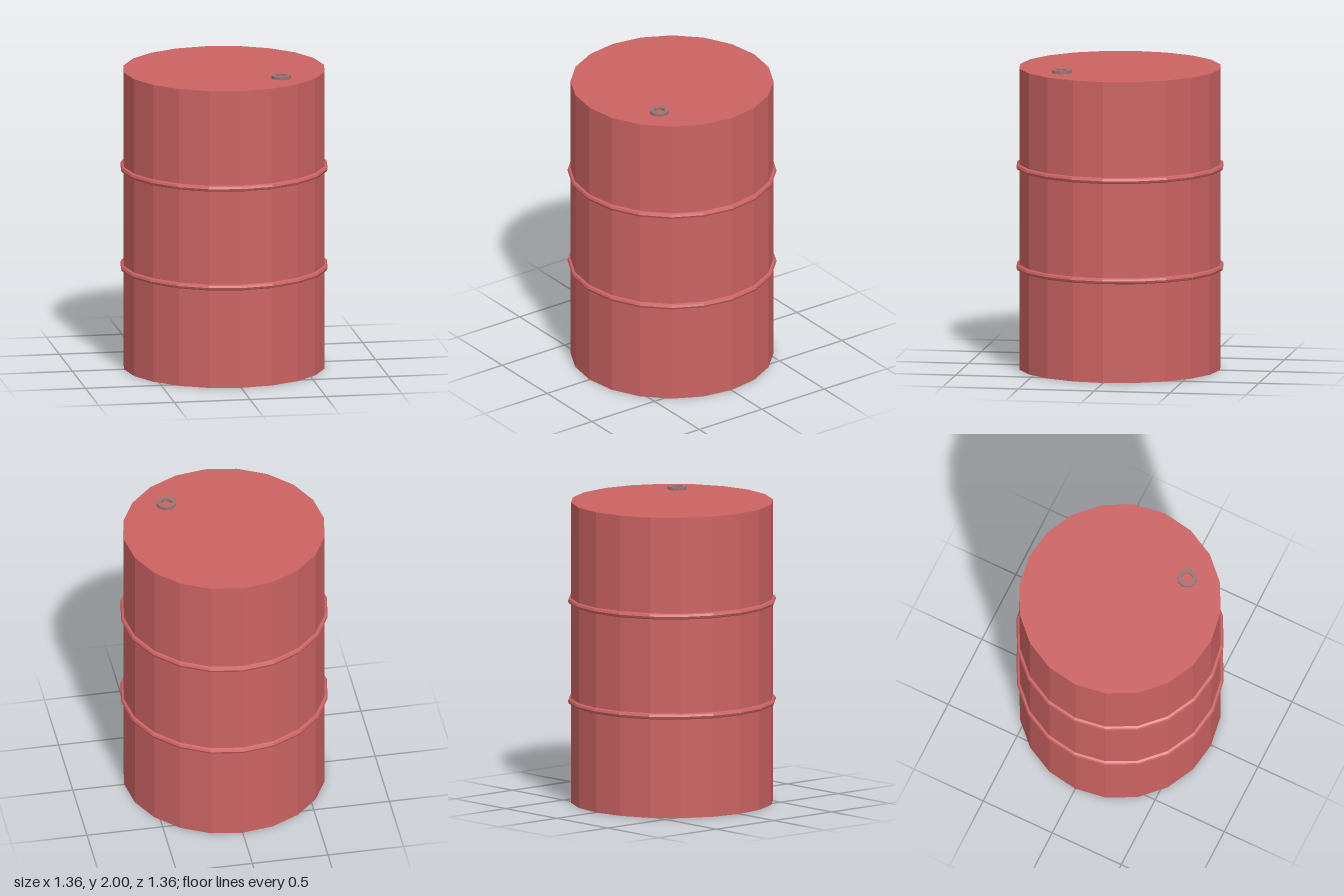
import * as THREE from 'three';

const SIDES = 20, RADIUS = 0.66, HEIGHT = 1.98;

function paint(name, color) {
  const m = new THREE.MeshStandardMaterial({ color, flatShading: true });
  m.name = name;
  return m;
}

export function createModel() {
  const model = new THREE.Group();
  model.name = 'barrel';

  const red = paint('red paint', 0xcc6363);
  const grey = paint('grey base', 0x888888);
  const metal = paint('dull metal', 0xa07272);

  const add = (name, geometry, material, x, y, z) => {
    const mesh = new THREE.Mesh(geometry, material);
    mesh.name = name;
    mesh.position.set(x, y, z);
    model.add(mesh);
  };

  // Drum: red wall and lid, grey underside
  add('drum', new THREE.CylinderGeometry(RADIUS, RADIUS, HEIGHT, SIDES),
    [red, red, grey], 0, HEIGHT / 2, 0);

  // Two raised hoops at the thirds
  const hoop = new THREE.TorusGeometry(RADIUS, 0.02, 8, SIDES).rotateX(Math.PI / 2);
  add('lowerHoop', hoop, red, 0, 0.67, 0);
  add('upperHoop', hoop, red, 0, 1.33, 0);

  // Ring around the filler hole in the lid
  const profile = [[0.035, 0], [0.065, 0], [0.065, 0.02], [0.035, 0.02], [0.035, 0]]
    .map(([r, y]) => new THREE.Vector2(r, y));
  const ring = new THREE.LatheGeometry(profile, 10).rotateY(Math.PI / 2);
  add('fillerRing', ring, metal, 0.32, HEIGHT, 0.33);

  return model;
}
